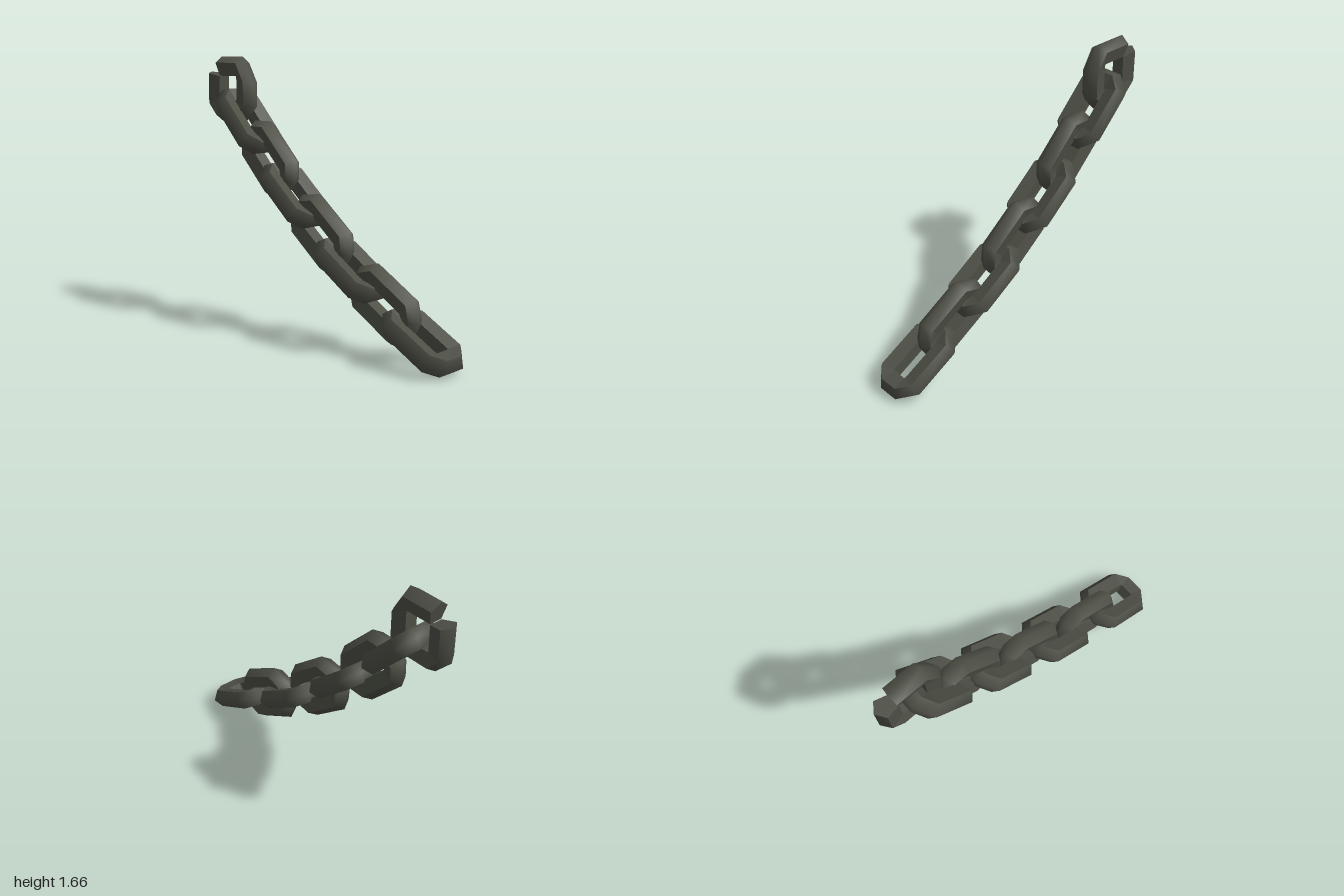
import * as THREE from 'three';

const iron = new THREE.MeshStandardMaterial({ color: 0x4d4f45 });
iron.name = 'darkIron';

// Elongated octagon, counterclockwise: half length, half width, half straight side, half end
function octagon(L, W, s, e) {
  return [[L, -e], [L, e], [s, W], [-s, W], [-L, e], [-L, -e], [-s, -W], [s, -W]];
}

// Five-sided bar swept between an outer ridge loop and an inner loop
function barGeometries(outer, inner, closed) {
  const n = outer.length;
  // [share of the way from ridge to inner loop, sideways offset]
  const section = [[0, 0], [0.32, 0.058], [1, 0.039], [1, -0.039], [0.32, -0.058]];
  const point = (i, j) => {
    const [t, c] = section[j], o = outer[i], p = inner[i];
    return [o[0] + (p[0] - o[0]) * t, o[1] + (p[1] - o[1]) * t, c];
  };
  const build = (strips, smooth) => {
    const pos = [], idx = [];
    for (let i = 0; i < n; i++) for (let j = 0; j < 5; j++) pos.push(...point(i, j));
    for (let i = 0; i < (closed ? n : n - 1); i++) {
      const k = (i + 1) % n;
      for (const j of strips) {
        const m = (j + 1) % 5;
        idx.push(i * 5 + j, k * 5 + j, k * 5 + m, i * 5 + j, k * 5 + m, i * 5 + m);
      }
    }
    // Broken ends
    if (!closed && !smooth) {
      const z = (n - 1) * 5;
      for (let j = 1; j < 4; j++) idx.push(0, j, j + 1, z, z + j + 1, z + j);
    }
    let g = new THREE.BufferGeometry();
    g.setAttribute('position', new THREE.Float32BufferAttribute(pos, 3));
    g.setIndex(idx);
    if (!smooth) g = g.toNonIndexed();
    g.computeVertexNormals();
    return g;
  };
  return { rim: build([4, 0], true), sides: build([1, 2, 3], false) };
}

function makeLink(name, parts, z, y, degrees, flat) {
  const link = new THREE.Group();
  link.name = name;
  const turn = new THREE.Group();
  turn.name = name + 'Bar';
  for (const key of ['rim', 'sides']) {
    const mesh = new THREE.Mesh(parts[key], iron);
    mesh.name = name + (key === 'rim' ? 'Rim' : 'Sides');
    turn.add(mesh);
  }
  if (flat) turn.rotation.x = Math.PI / 2;
  link.add(turn);
  // Length runs up and to the back
  const a = THREE.MathUtils.degToRad(degrees), s = Math.sin(a), c = Math.cos(a);
  const basis = new THREE.Matrix4().makeBasis(
    new THREE.Vector3(0, s, -c), new THREE.Vector3(0, c, s), new THREE.Vector3(1, 0, 0));
  link.quaternion.setFromRotationMatrix(basis);
  link.position.set(0, y, z);
  return link;
}

export function createModel() {
  const chain = new THREE.Group();
  chain.name = 'chain';

  // Whole links, alternately flat and upright: z, y, tilt
  const whole = barGeometries(
    octagon(0.257, 0.169, 0.157, 0.066), octagon(0.137, 0.05, 0.131, 0.044), true);
  const places = [
    [0.773, 0.155, 27.4], [0.504, 0.307, 29.6], [0.25, 0.466, 32], [0.006, 0.643, 38],
    [-0.225, 0.847, 40], [-0.443, 1.046, 45], [-0.645, 1.27, 46],
  ];
  places.forEach(([z, y, tilt], i) => {
    const flat = i % 2 === 0;
    chain.add(makeLink((flat ? 'flatLink' : 'uprightLink') + (i + 1), whole, z, y, tilt, flat));
  });

  // Broken end link, open at its upper back corner
  const outer = [[0.104, 0.204], [-0.104, 0.204], [-0.206, 0.032], [-0.206, -0.118],
    [-0.125, -0.203], [0.104, -0.203], [0.206, -0.1], [0.206, 0.107]];
  const inner = [[0.079, 0.083], [-0.078, 0.083], [-0.083, 0.076], [-0.083, -0.076],
    [-0.078, -0.083], [0.078, -0.083], [0.083, -0.076], [0.08, 0.08]];
  chain.add(makeLink('brokenLink', barGeometries(outer, inner, false), -0.793, 1.462, 0, false));
  return chain;
}
